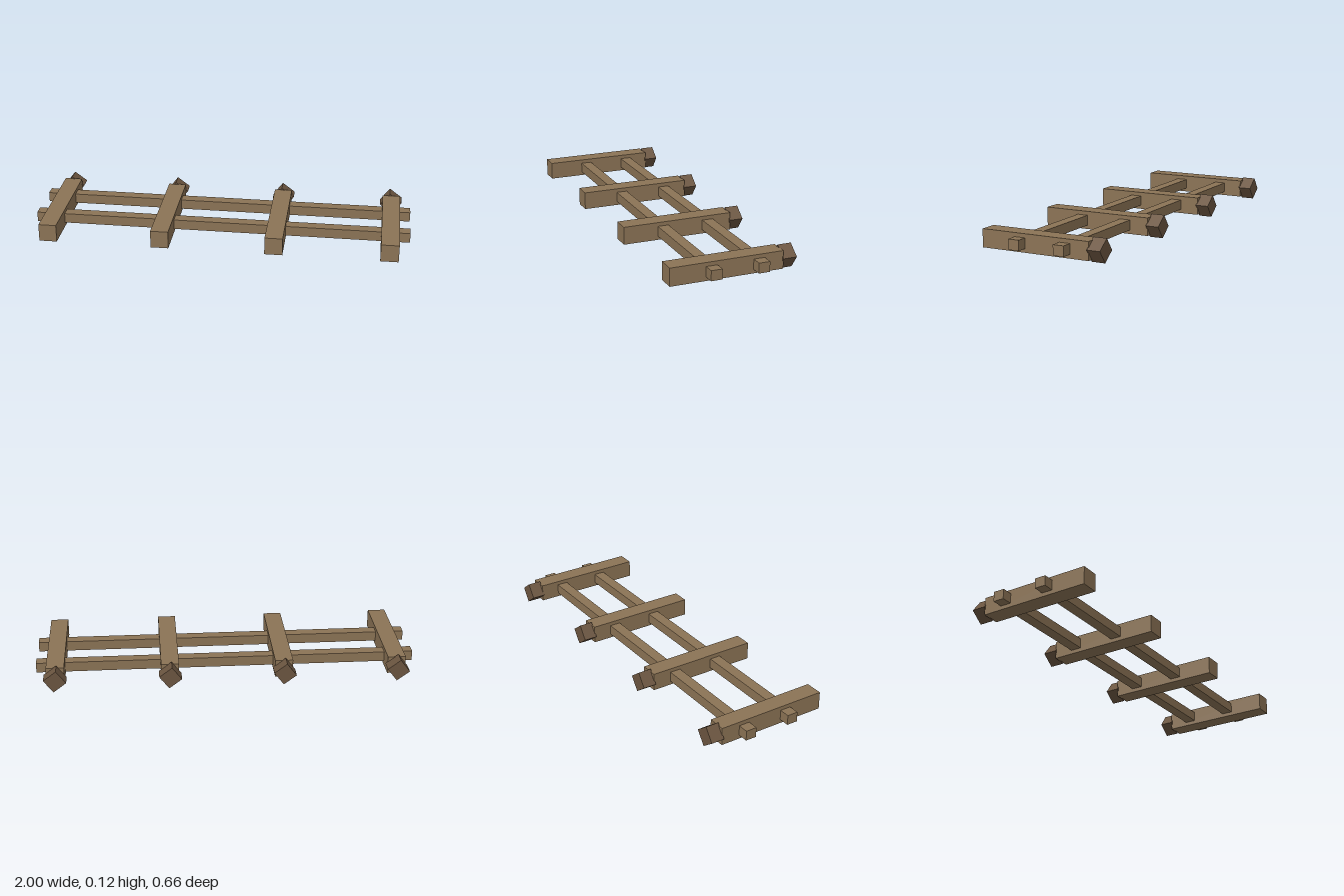
import * as THREE from 'three';

export function createModel() {
  const model = new THREE.Group();
  model.name = 'woodenFence';
  const wood = new THREE.MeshStandardMaterial({ color: 0x8b7355, flatShading: true });
  const darkWood = new THREE.MeshStandardMaterial({ color: 0x6b5540, flatShading: true });
  const midY = 0.06;

  function beam(name, size, position, material) {
    const mesh = new THREE.Mesh(new THREE.BoxGeometry(...size), material);
    mesh.name = name;
    mesh.position.set(...position);
    model.add(mesh);
    return mesh;
  }

  // Four posts lying along z, each with a twisted square cap at the back end
  [-0.896, -0.299, 0.299, 0.896].forEach((x, i) => {
    beam(`post${i + 1}`, [0.094, 0.094, 0.597], [x, midY, 0.0335], wood);
    const cap = beam(`postCap${i + 1}`, [0.084, 0.084, 0.072], [x, midY, -0.296], darkWood);
    cap.rotation.z = THREE.MathUtils.degToRad(53);
  });

  // Two long rails passing through all the posts
  beam('lowerRail', [2, 0.053, 0.059], [0, midY, 0.116], wood);
  beam('upperRail', [2, 0.053, 0.059], [0, midY, -0.134], wood);

  return model;
}
